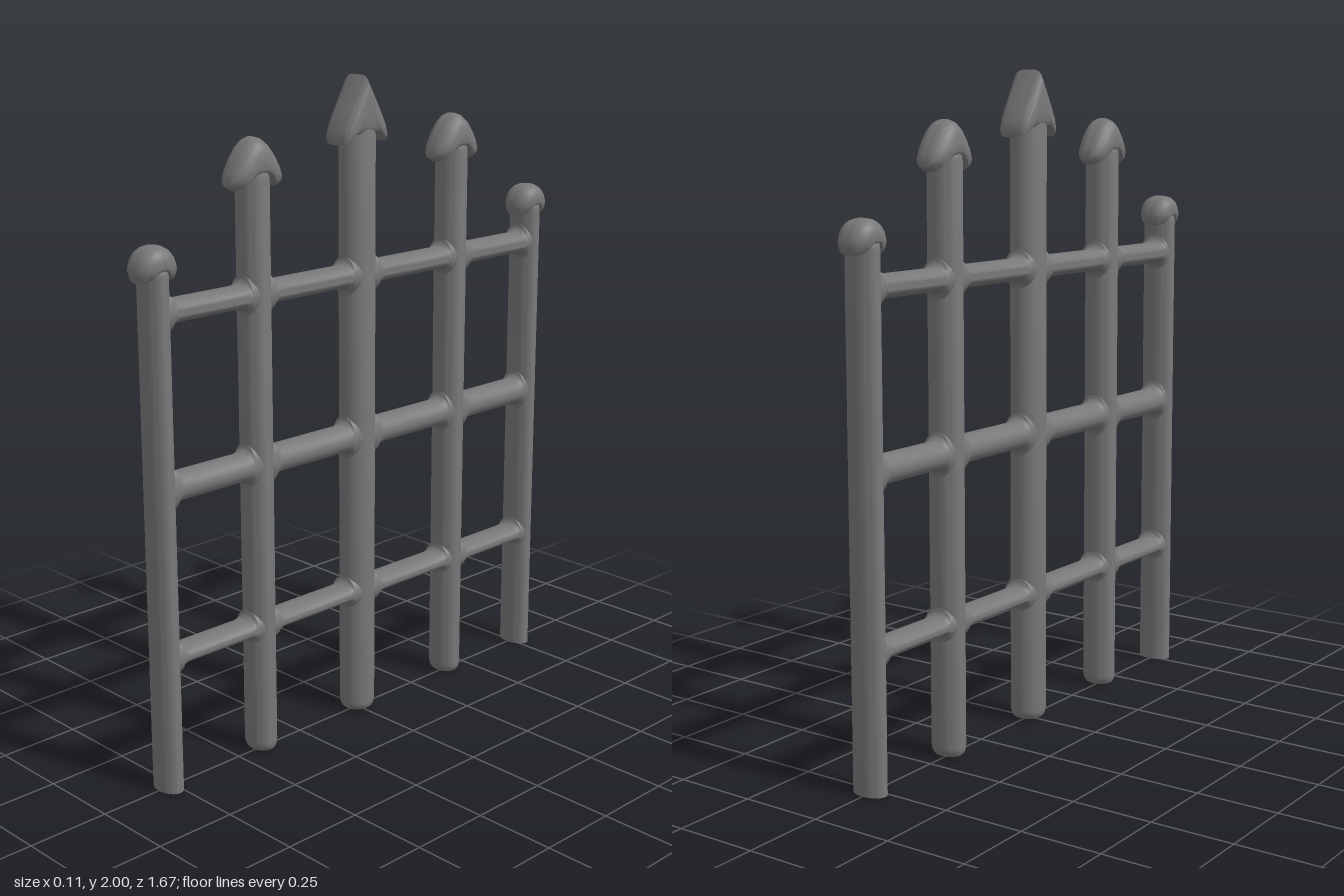
import * as THREE from 'three';
import { toCreasedNormals } from 'three/addons/utils/BufferGeometryUtils.js';

const DEPTH = 0.055; // half thickness of the gate along x
const iron = new THREE.MeshStandardMaterial({ color: 0x787878 });
iron.name = 'grey iron';

function addMesh(parent, name, geometry) {
  const mesh = new THREE.Mesh(toCreasedNormals(geometry, 0.75), iron);
  mesh.name = name;
  parent.add(mesh);
  return mesh;
}

// Upright bar with an oval section and a rounded or flat foot
function barGeometry(halfWidth, top, roundFoot) {
  const pts = [];
  const r = 0.03;
  const end = (y, dir) => {
    const list = [new THREE.Vector2(0, y)];
    for (let i = 0; i <= 5; i++) {
      const a = (i / 5) * Math.PI / 2;
      list.push(new THREE.Vector2(0.72 + 0.28 * Math.sin(a), y + dir * r * (1 - Math.cos(a))));
    }
    return list;
  };
  if (roundFoot) pts.push(...end(0.006, 1));
  else pts.push(new THREE.Vector2(0, 0), new THREE.Vector2(1, 0));
  pts.push(...end(top, -1).reverse());
  return new THREE.LatheGeometry(pts, 32).scale(DEPTH, 1, halfWidth);
}

// Rail between two bars, flaring into a fillet at both ends
function railGeometry(zA, wA, zB, wB, halfHeight) {
  const r = 0.025;
  const stations = [zA];
  for (let i = 0; i <= 6; i++) stations.push(zA + wA + r * (i / 6) ** 2);
  for (let i = 6; i >= 0; i--) stations.push(zB - wB - r * (i / 6) ** 2);
  stations.push(zB);
  const g = new THREE.LatheGeometry(stations.map(z => new THREE.Vector2(1, z)), 24);
  g.rotateX(Math.PI / 2);
  const p = g.attributes.position;
  for (let i = 0; i < p.count; i++) {
    const z = p.getZ(i);
    const d = THREE.MathUtils.clamp(Math.min(z - zA - wA, zB - wB - z), 0, r);
    const fillet = r - Math.sqrt(r * r - (r - d) ** 2);
    p.setXY(i, p.getX(i) * 0.05, p.getY(i) * (halfHeight + fillet));
  }
  return g;
}

// Finial: mirrored outline swept along x, shrinking to rounded sides
function finialGeometry(half, centreY, power) {
  const outline = [
    ...half,
    ...half.filter(([w]) => w > 0).reverse().map(([w, y]) => [-w, y]),
  ].map(([w, y]) => new THREE.Vector2(w, y - centreY));
  const g = new THREE.ExtrudeGeometry(new THREE.Shape(outline), {
    depth: 1, steps: 24, bevelEnabled: false,
  });
  const p = g.attributes.position;
  for (let i = 0; i < p.count; i++) {
    const a = (p.getZ(i) - 0.5) * Math.PI;
    const s = Math.max(0.02, Math.abs(Math.cos(a)) ** (2 / power));
    const depth = 0.057 * Math.sign(a) * Math.abs(Math.sin(a)) ** (2 / power);
    p.setXYZ(i, p.getX(i) * s, p.getY(i) * s, depth);
  }
  return g.rotateY(Math.PI / 2).translate(0, centreY, 0);
}

// Half outlines as [half width, height], from the tip down to the neck
const spear = [[0, 2], [0.03, 1.947], [0.062, 1.89], [0.083, 1.848], [0.092, 1.815],
  [0.088, 1.802], [0.075, 1.808], [0.062, 1.822], [0.05, 1.826]];
const leaf = [[0, 1.857], [0.018, 1.852], [0.04, 1.835], [0.065, 1.803], [0.086, 1.766],
  [0.096, 1.738], [0.093, 1.724], [0.074, 1.712], [0.063, 1.718], [0.056, 1.732], [0.04, 1.738]];
const knob = [[0, 1.6], [0.022, 1.597], [0.042, 1.586], [0.058, 1.566], [0.067, 1.54],
  [0.067, 1.525], [0.058, 1.503], [0.046, 1.501], [0.037, 1.514], [0.025, 1.52]];

export function createModel() {
  const gate = new THREE.Group();
  gate.name = 'gate';

  const kinds = {
    centre: { w: 0.055, top: 1.86, round: true, head: spear, headY: 1.89, power: 4 },
    middle: { w: 0.044, top: 1.77, round: true, head: leaf, headY: 1.785, power: 2.3 },
    outer: { w: 0.036, top: 1.545, round: false, head: knob, headY: 1.55, power: 2.3 },
  };
  const bars = [
    [-0.77, 'outer'], [-0.41, 'middle'], [0, 'centre'], [0.41, 'middle'], [0.77, 'outer'],
  ];

  // Upright bars with their finials
  for (const [z, kind] of bars) {
    const k = kinds[kind];
    const upright = new THREE.Group();
    upright.name = kind + 'Upright';
    upright.position.z = z;
    addMesh(upright, kind + 'Bar', barGeometry(k.w, k.top, k.round));
    addMesh(upright, kind + 'Finial', finialGeometry(k.head, k.headY, k.power));
    gate.add(upright);
  }

  // Three rows of rails
  const rails = [['bottomRail', 0.407, 0.027], ['middleRail', 0.91, 0.042], ['topRail', 1.412, 0.034]];
  for (const [name, y, halfHeight] of rails) {
    const row = new THREE.Group();
    row.name = name;
    row.position.y = y;
    for (let i = 0; i < bars.length - 1; i++) {
      const [zA, a] = bars[i];
      const [zB, b] = bars[i + 1];
      addMesh(row, name + 'Span', railGeometry(zA, kinds[a].w, zB, kinds[b].w, halfHeight));
    }
    gate.add(row);
  }
  return gate;
}
